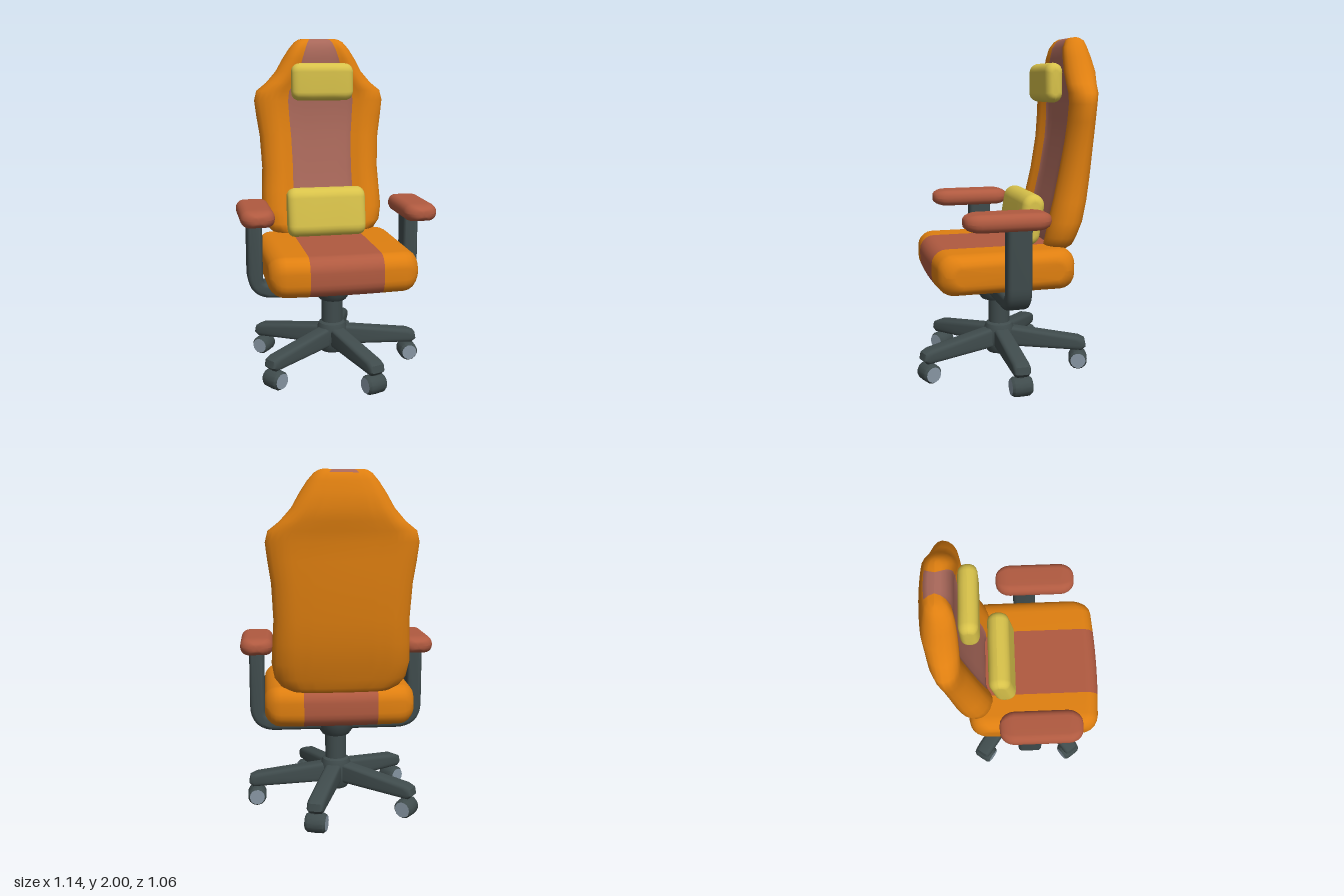
import * as THREE from 'three';
import { toCreasedNormals } from 'three/addons/utils/BufferGeometryUtils.js';

const mat = (name, color) => Object.assign(new THREE.MeshStandardMaterial({ color }), { name });

// Skin a list of closed rings; pick(i, j, centre) gives the material index of each quad.
function loft(rings, pick = () => 0) {
  const n = rings[0].length, lists = [[], []];
  for (let i = 0; i < rings.length - 1; i++) {
    for (let j = 0; j < n; j++) {
      const k = (j + 1) % n;
      const a = i * n + j, b = i * n + k, c = b + n, d = a + n;
      const mid = rings[i][j].clone().add(rings[i + 1][k]).multiplyScalar(0.5);
      lists[pick(i, j, mid)].push(a, b, c, a, c, d);
    }
  }
  const geo = new THREE.BufferGeometry().setFromPoints(rings.flat());
  geo.setIndex([...lists[0], ...lists[1]]);
  geo.addGroup(0, lists[0].length, 0);
  geo.addGroup(lists[0].length, lists[1].length, 1);
  geo.computeVertexNormals();
  return geo;
}

// Rounded rectangle around the x axis.
function roundedRing(x, hy, hz, radius) {
  const r = Math.min(radius, hy, hz), pts = [];
  const corners = [[1, 1], [-1, 1], [-1, -1], [1, -1]];
  corners.forEach(([sy, sz], q) => {
    for (let k = 0; k <= 5; k++) {
      const t = (q + k / 5) * Math.PI / 2;
      pts.push(new THREE.Vector3(x, sy * (hy - r) + r * Math.cos(t), sz * (hz - r) + r * Math.sin(t)));
    }
  });
  return pts;
}

// Padded block lying along x: half sizes, edge radius, and how far the ends taper in x, y, z.
function cushion([hx, hy, hz], radius, [ex, ey, ez], stripe = 0, bulge = 0) {
  const stations = [];
  for (let k = 0; k <= 5; k++) {
    const t = (k / 5) * Math.PI / 2;
    stations.push([hx - ex * (1 - Math.cos(t)), 1 - Math.sin(t)]);
  }
  const half = [...stations];
  if (stripe) half.push([stripe, 0]);
  half.push([stripe ? stripe / 2 : hx / 3, 0]);
  // half runs from the full end inwards
  const ends = half.map(([x, s]) => [x, s]);
  const all = [...ends.map(([x, s]) => [-x, s]), [0, 0], ...ends.reverse()];
  const ring = ([x, s]) => roundedRing(x, hy - ey * s, hz - ez * s - bulge * (x / hx) ** 2, radius);
  const rings = all.map(ring);
  const cap = (x) => rings[0].map(() => new THREE.Vector3(x, 0, 0));
  rings.unshift(cap(-hx));
  rings.push(cap(hx));
  return loft(rings, (i, j, mid) => (Math.abs(mid.x) < stripe ? 1 : 0));
}

// Backrest: stations are height, half width, front z, back z.
function backrestGeometry() {
  const stations = [
    [0.772, 0.24, -0.31, -0.31], [0.782, 0.28, -0.235, -0.37], [0.81, 0.335, -0.207, -0.392],
    [0.86, 0.372, -0.21, -0.405], [0.95, 0.388, -0.225, -0.437], [1.07, 0.382, -0.255, -0.462],
    [1.2, 0.375, -0.283, -0.48], [1.4, 0.385, -0.318, -0.495], [1.52, 0.403, -0.331, -0.5],
    [1.62, 0.415, -0.338, -0.505], [1.68, 0.4, -0.338, -0.515], [1.73, 0.337, -0.339, -0.525],
    [1.8, 0.275, -0.34, -0.535], [1.88, 0.23, -0.343, -0.52], [1.94, 0.19, -0.352, -0.505],
    [1.98, 0.155, -0.375, -0.49], [1.995, 0.13, -0.4, -0.465], [2.0, 0.11, -0.432, -0.432],
  ];
  const side = [0.25, 0.42, 0.5, 0.6, 0.68, 0.76, 0.85, 0.93, 0.98];
  const us = [...side.map((u) => -u).reverse(), 0, ...side];
  const rings = stations.map(([y, hw, zf, zb]) => {
    const mid = (zf + zb) / 2, thick = zf - zb;
    const edge = (u) => Math.sqrt(1 - Math.max(0, (Math.abs(u) - 0.7) / 0.3) ** 2);
    const recess = Math.min(0.04, thick * 0.22) * (1 - THREE.MathUtils.smoothstep(y, 1.5, 1.95) * 0.75);
    const front = (u) => mid + (zf - mid) * edge(u)
      - recess * (1 - THREE.MathUtils.smoothstep(Math.abs(u), 0.4, 0.7));
    const back = (u) => mid + (zb - mid) * edge(u) + Math.min(0.025, thick * 0.15) * u * u * edge(u);
    const at = (u, z) => new THREE.Vector3(u * hw, y, z);
    return [at(-1, mid), ...us.map((u) => at(u, front(u))), at(1, mid),
      ...[...us].reverse().map((u) => at(u, back(u)))];
  });
  const allU = [-1, ...us, 1, ...[...us].reverse(), -1];
  return loft(rings, (i, j) => {
    const inStripe = Math.abs(allU[j] + allU[j + 1]) / 2 < 0.5;
    return inStripe && (j <= us.length || i >= stations.length - 3) ? 1 : 0;
  });
}

// Bevelled plate, centred on z, with its outline grown by the bevel.
function plate(shape, width, bevel) {
  const geo = new THREE.ExtrudeGeometry(shape, {
    depth: width - 2 * bevel, bevelEnabled: true, bevelSize: bevel, bevelThickness: bevel,
    bevelSegments: 4, curveSegments: 8,
  });
  geo.translate(0, 0, bevel - width / 2);
  return toCreasedNormals(geo, 0.8);
}

export function createModel() {
  const group = new THREE.Group();
  const orange = mat('orange', 0xdf7f10), rust = mat('rust', 0xb05a40), rose = mat('dusty rose', 0xa9685a);
  const yellow = mat('yellow', 0xd8c24a), slate = mat('dark slate', 0x3f4b4c), grey = mat('caster grey', 0x8796a3);

  const add = (name, geo, material, x = 0, y = 0, z = 0, parent = group) => {
    const mesh = new THREE.Mesh(geo, material);
    mesh.name = name;
    mesh.position.set(x, y, z);
    parent.add(mesh);
    return mesh;
  };
  const turned = (pts, segments = 24) => toCreasedNormals(
    new THREE.LatheGeometry(pts.map(([r, y]) => new THREE.Vector2(r, y)), segments), 0.6);

  // Upholstery
  add('seat', cushion([0.43, 0.117, 0.413], 0.085, [0.09, 0.07, 0.08], 0.21, 0.022), [orange, rust], 0, 0.686, 0.043);
  add('backrest', backrestGeometry(), [orange, rose]);
  add('headPillow', cushion([0.192, 0.114, 0.052], 0.052, [0.05, 0.045, 0.035]), yellow, -0.004, 1.737, -0.287);
  const lumbar = add('lumbarPillow', cushion([0.243, 0.152, 0.067], 0.067, [0.05, 0.045, 0.04]), yellow, -0.008, 0.947, -0.142);
  lumbar.rotation.x = -0.16;

  // Armrests
  for (const s of [1, -1]) {
    const pad = add(s > 0 ? 'leftArmrest' : 'rightArmrest',
      cushion([0.243, 0.05, 0.097], 0.045, [0.085, 0.035, 0.075]), rust, s * 0.473, 1.0, 0.079);
    pad.rotation.y = Math.PI / 2;
  }

  // U-shaped arm bracket under the seat
  const b = 0.025, u = new THREE.Shape();
  const xo = 0.52 - b, xi = 0.43 + b, yo = 0.475 + b, yi = 0.565 - b, ro = 0.13, ri = 0.06;
  u.moveTo(xo, 0.94);
  u.lineTo(xi, 0.94);
  u.lineTo(xi, yi + ri);
  u.quadraticCurveTo(xi, yi, xi - ri, yi);
  u.lineTo(-xi + ri, yi);
  u.quadraticCurveTo(-xi, yi, -xi, yi + ri);
  u.lineTo(-xi, 0.94);
  u.lineTo(-xo, 0.94);
  u.lineTo(-xo, yo + ro);
  u.quadraticCurveTo(-xo, yo, -xo + ro, yo);
  u.lineTo(xo - ro, yo);
  u.quadraticCurveTo(xo, yo, xo, yo + ro);
  add('armBracket', plate(u, 0.143, b), slate, 0, 0, 0.013);

  // Seat mount, gas column and hub
  const mount = add('seatMount', turned([[0, 0.44], [0.085, 0.44], [0.105, 0.47], [0.12, 0.53], [0.12, 0.58], [0, 0.58]]), slate, 0, 0, 0.01);
  mount.scale.z = 1.15;
  add('column', new THREE.CylinderGeometry(0.065, 0.065, 0.24, 24), slate, 0, 0.35, 0);
  add('hub', turned([[0, 0.1], [0.07, 0.1], [0.085, 0.12], [0.095, 0.18], [0.092, 0.25], [0.08, 0.28], [0.065, 0.29], [0, 0.29]]), slate);

  // Star base: five legs with casters
  const legShape = new THREE.Shape([[0.03, 0.165], [0.5, 0.143], [0.508, 0.15], [0.505, 0.165], [0.48, 0.177], [0.03, 0.24]]
    .map(([x, y]) => new THREE.Vector2(x, y)));
  const legGeo = plate(legShape, 0.1, 0.025);
  const tread = turned([[0.045, -0.06], [0.056, -0.045], [0.058, 0], [0.056, 0.045], [0.045, 0.06]], 14);
  const disc = new THREE.CircleGeometry(0.046, 14);
  const ringGeo = new THREE.CylinderGeometry(0.02, 0.02, 0.05, 12);
  for (let i = 0; i < 5; i++) {
    const arm = new THREE.Group();
    arm.name = 'baseArm' + (i + 1);
    arm.rotation.y = i * Math.PI * 2 / 5;
    add('leg', legGeo, slate, 0, 0, 0, arm);
    add('casterStem', ringGeo, slate, 0.487, 0.12, 0, arm);
    add('casterTread', tread, slate, 0.487, 0.058, 0, arm).rotation.x = Math.PI / 2;
    add('casterFace', disc, grey, 0.487, 0.058, 0.06, arm);
    add('casterFace', disc, grey, 0.487, 0.058, -0.06, arm).rotation.y = Math.PI;
    group.add(arm);
  }
  return group;
}
